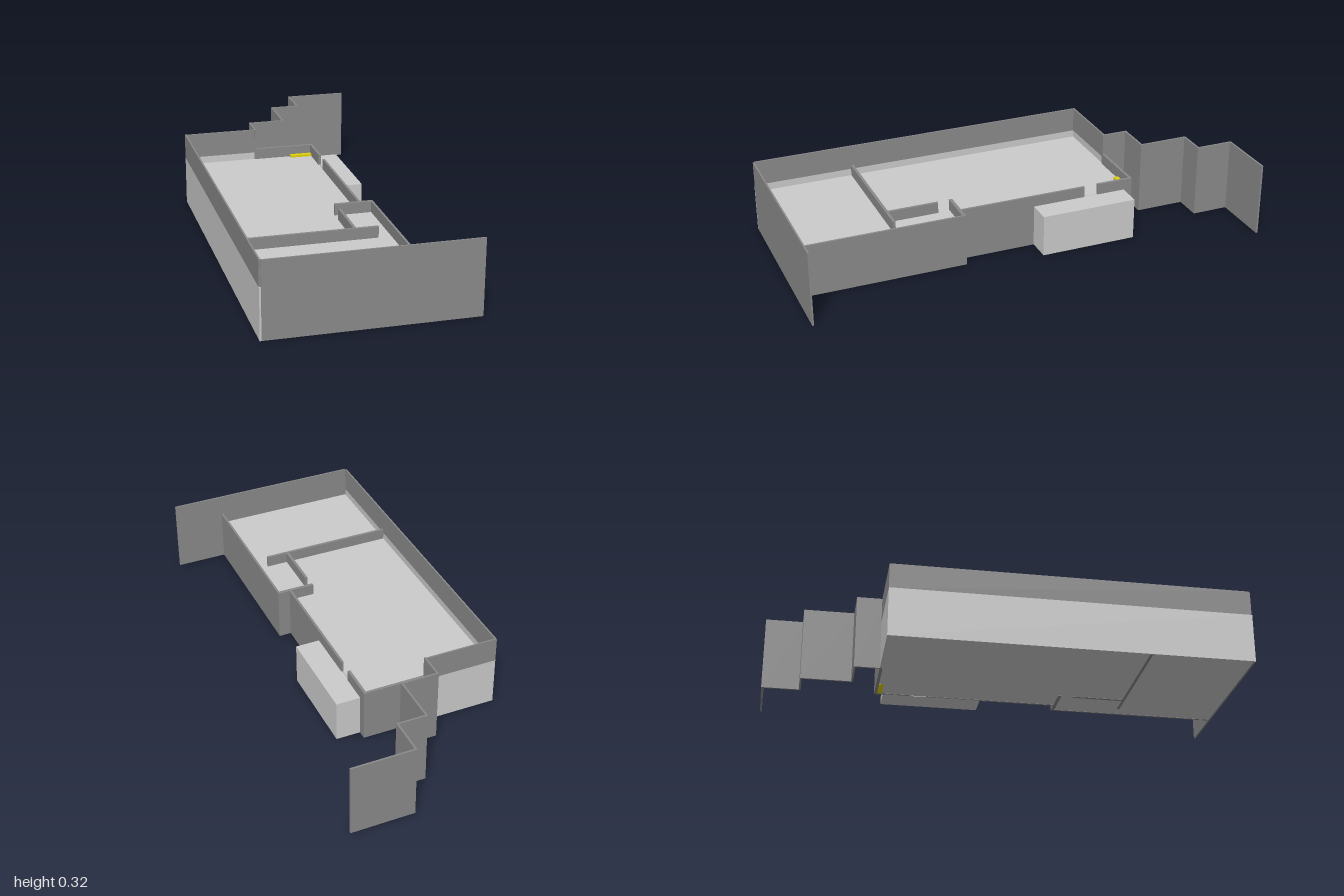
import * as THREE from 'three';

const light = new THREE.MeshStandardMaterial({ color: 0xcccccc });
const dark = new THREE.MeshStandardMaterial({ color: 0x8a8a8a });
const yellow = new THREE.MeshStandardMaterial({ color: 0xe2d40a });

const TALL = 0.322, LOW = 0.23, SILL = 0.213, FLOOR = 0.182;

export function createModel() {
  const model = new THREE.Group();

  // Box given by its limits on each axis
  function block(name, x0, x1, y0, y1, z0, z1, material) {
    const mesh = new THREE.Mesh(new THREE.BoxGeometry(x1 - x0, y1 - y0, z1 - z0), material);
    mesh.position.set((x0 + x1) / 2, (y0 + y1) / 2, (z0 + z1) / 2);
    mesh.name = name;
    model.add(mesh);
  }

  // Raised floor slab, wider towards the front
  const outline = new THREE.Shape([
    [-0.43, -0.998], [0.205, -0.998], [0.205, -0.275], [0.152, -0.275], [0.152, 0.512], [-0.43, 0.512],
  ].map(([x, y]) => new THREE.Vector2(x, y)));
  const floorGeometry = new THREE.ExtrudeGeometry(outline, { depth: FLOOR - 0.001, bevelEnabled: false });
  floorGeometry.rotateX(-Math.PI / 2);
  const floor = new THREE.Mesh(floorGeometry, light);
  floor.name = 'floor';
  floor.position.y = 0.001;
  model.add(floor);

  // Loading platform outside the side wall
  block('platform', 0.155, 0.265, 0, FLOOR, -0.48, -0.057, light);

  // Outer walls: pale base with a dark wall on top
  block('sideBase', -0.436, -0.429, 0, SILL, -0.518, 1, light);
  block('sideWall', -0.436, -0.429, SILL, TALL, -0.518, 0.993, dark);
  block('backBase', -0.429, -0.115, 0, SILL, -0.518, -0.511, light);
  block('backWall', -0.429, -0.115, SILL, TALL, -0.518, -0.511, dark);
  block('frontWall', -0.429, 0.436, 0, TALL, 0.993, 1, dark);

  // Low walls, full depth down to the ground
  const lowWalls = [
    ['backLowWall', -0.11, 0.16, -0.518, -0.506],
    ['sideLowWallBack', 0.148, 0.16, -0.506, -0.355],
    ['sideLowWallMiddle', 0.15, 0.16, -0.292, 0.27],
    ['stepWall', 0.047, 0.213, 0.27, 0.285],
    ['sideLowWallFront', 0.204, 0.213, 0.285, 0.993],
    ['crossPartition', -0.429, 0.15, 0.555, 0.567],
    ['shortPartition', 0.047, 0.059, 0.337, 0.555],
  ];
  for (const [name, x0, x1, z0, z1] of lowWalls) block(name, x0, x1, 0, LOW, z0, z1, dark);

  // Stepped tall wall running off the back
  const path = [[-0.112, -0.512], [-0.112, -0.621], [0.044, -0.621], [0.044, -0.836],
    [0.167, -0.836], [0.167, -0.996], [0.432, -0.996]];
  const h = 0.004;
  for (let i = 1; i < path.length; i++) {
    const [ax, az] = path[i - 1], [bx, bz] = path[i];
    block('steppedWall' + i, Math.min(ax, bx) - h, Math.max(ax, bx) + h, 0, TALL,
      Math.min(az, bz) - h, Math.max(az, bz) + h, dark);
  }

  // Small yellow block in the back corner
  block('cornerBlock', 0.052, 0.148, 0, FLOOR + 0.01, -0.506, -0.485, yellow);

  return model;
}
